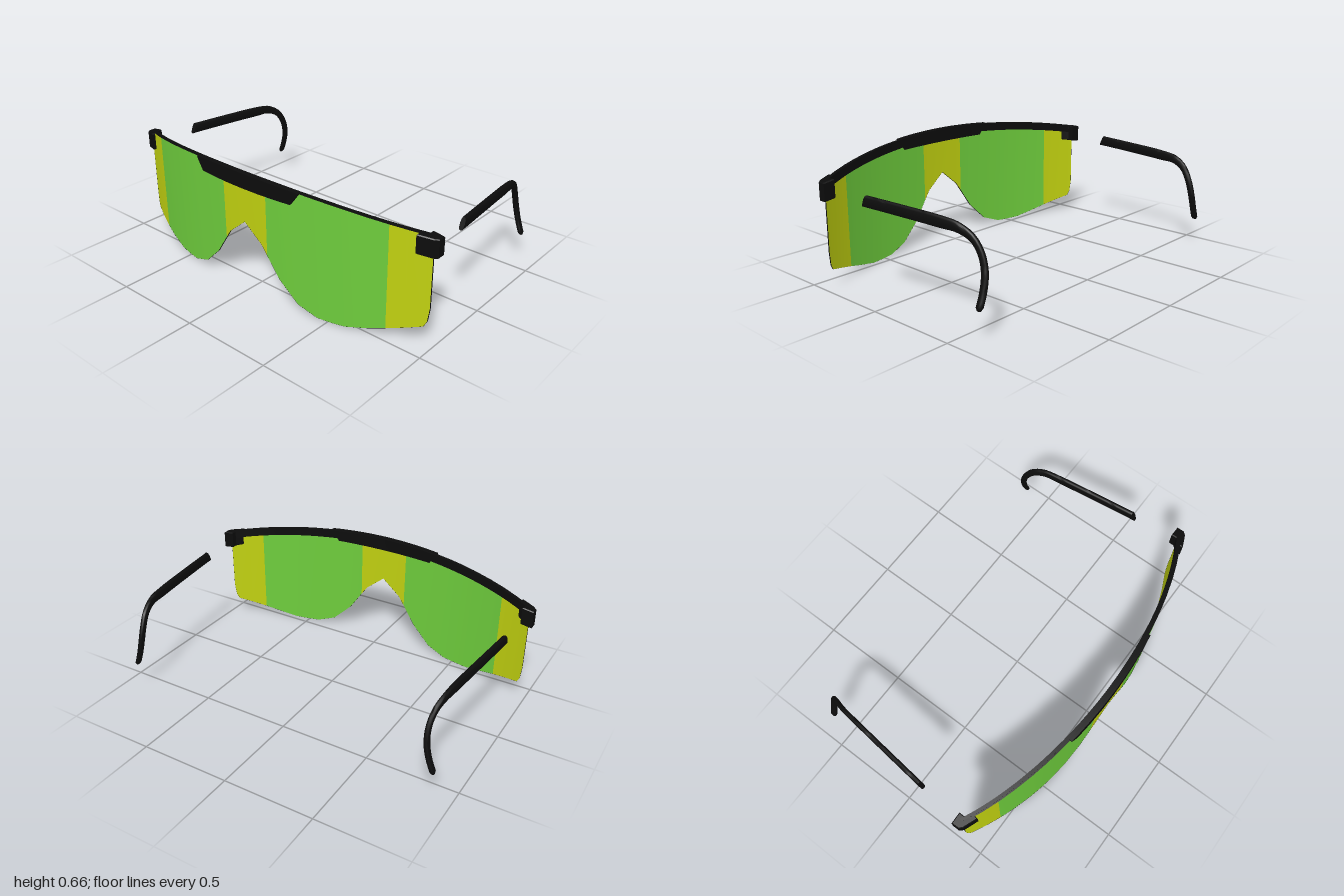
import * as THREE from 'three';
import { toCreasedNormals } from 'three/addons/utils/BufferGeometryUtils.js';

const black = new THREE.MeshStandardMaterial({ name: 'black plastic', color: 0x0c0c0c, side: THREE.DoubleSide });
const green = new THREE.MeshStandardMaterial({ name: 'green lens', color: 0x6ecc3c });
const yellow = new THREE.MeshStandardMaterial({ name: 'yellow lens', color: 0xc0d010 });

// Wrap of the shield, its top line, and the lower outline of one half
const wrapZ = (x) => 0.602 - 0.2 * x * x - 0.03 * x ** 6;
const topY = (x) => 0.663 - 0.095 * x * x;
const lower = [[0, 0.4], [0.11, 0.31], [0.145, 0.26], [0.22, 0.15], [0.33, 0.045], [0.44, 0.005],
  [0.515, 0.003], [0.59, 0.005], [0.7, 0.03], [0.785, 0.054], [0.87, 0.078], [0.947, 0.1], [0.962, 0.13], [0.97, 0.2]];
const columns = [...lower.slice(1).reverse().map(([x, y]) => [-x, y]), ...lower];

function mesh(name, geometry, material) {
  const m = new THREE.Mesh(geometry, material);
  m.name = name;
  return m;
}

function buffer(points, index) {
  const g = new THREE.BufferGeometry();
  g.setAttribute('position', new THREE.Float32BufferAttribute(points.flat(), 3));
  g.setIndex(index);
  return g;
}

// Closed solid through a row of equal loops of points
function loft(loops, crease = 0.6) {
  const n = loops[0].length, last = (loops.length - 1) * n, index = [];
  const points = loops.flat();
  for (let i = 0; i < loops.length - 1; i++) {
    for (let j = 0; j < n; j++) {
      const a = i * n + j, b = i * n + (j + 1) % n;
      index.push(a, b, a + n, b, b + n, a + n);
    }
  }
  for (let j = 1; j < n - 1; j++) {
    index.push(0, j + 1, j, last, last + j, last + j + 1);
  }
  // turn the faces outwards if the loops ran the other way
  let volume = 0;
  const v = (i) => new THREE.Vector3(...points[i]);
  for (let i = 0; i < index.length; i += 3) {
    volume += v(index[i]).dot(v(index[i + 1]).cross(v(index[i + 2])));
  }
  if (volume < 0) index.reverse();
  return toCreasedNormals(buffer(points, index), crease);
}

// One face of the lens, with a material group for each colour band
function lensFace(offset, back) {
  const points = [], index = [];
  columns.forEach(([x, y]) => {
    const z = wrapZ(x) + offset;
    points.push([x, y, z], [x, topY(x), z]);
  });
  const g = buffer(points, index);
  for (let i = 0; i < columns.length - 1; i++) {
    const a = 2 * i, mid = Math.abs(columns[i][0] + columns[i + 1][0]) / 2;
    const quad = [a, a + 2, a + 1, a + 1, a + 2, a + 3];
    index.push(...(back ? quad.reverse() : quad));
    g.addGroup(i * 6, 6, mid < 0.145 || mid > 0.785 ? 1 : 0);
  }
  g.setIndex(index);
  g.computeVertexNormals();
  return g;
}

// Thin dark rim running round the lens outline
function lensEdge() {
  const outline = [...columns, ...columns.map(([x]) => [x, topY(x)]).reverse()];
  const points = [], index = [], n = outline.length;
  outline.forEach(([x, y], i) => {
    points.push([x, y, wrapZ(x) + 0.004], [x, y, wrapZ(x) - 0.004]);
    const a = 2 * i, b = 2 * ((i + 1) % n);
    index.push(a, a + 1, b, b, a + 1, b + 1);
  });
  return toCreasedNormals(buffer(points, index), 0.6);
}

// Four-sided bar that follows the wrap of the lens
function wrapBar(xs, bottom, top, back, front) {
  return loft(xs.map((x) => {
    const z = wrapZ(x), y0 = bottom(x), y1 = top(x);
    return [[x, y0, z + back], [x, y0, z + front], [x, y1, z + front], [x, y1, z + back]];
  }));
}

// Hinge block: L-shaped plan, tilted with the brow line
function hinge(s) {
  const plan = [[0.94, 0.357], [0.995, 0.357], [0.995, 0.392], [0.98, 0.408], [0.91, 0.437], [0.907, 0.415], [0.94, 0.385]];
  const shape = new THREE.Shape(plan.map(([x, z]) => new THREE.Vector2(s * x, -z)));
  const g = new THREE.ExtrudeGeometry(shape, { depth: 0.088, bevelThickness: 0.005, bevelSize: 0.004, bevelSegments: 1 });
  g.rotateX(-Math.PI / 2).translate(0, 0.484, 0);
  const p = g.attributes.position;
  for (let i = 0; i < p.count; i++) p.setY(i, p.getY(i) - 0.15 * (Math.abs(p.getX(i)) - 0.955));
  g.computeVertexNormals();
  return g;
}

// Temple arm: flat oval section swept back, then hooked down and outwards
function arm(s) {
  const path = new THREE.CatmullRomCurve3([[0.94, 0.515, 0.112], [0.918, 0.51, -0.1], [0.89, 0.501, -0.36],
    [0.878, 0.492, -0.46], [0.862, 0.455, -0.53], [0.853, 0.39, -0.572], [0.857, 0.31, -0.594],
    [0.875, 0.23, -0.6], [0.898, 0.165, -0.6]].map((p) => new THREE.Vector3(...p)));
  const loops = [], steps = 36, sides = 12;
  for (let i = 0; i <= steps; i++) {
    const t = i / steps, c = path.getPointAt(t), d = path.getTangentAt(t);
    const len = Math.hypot(d.y, d.z), ny = -d.z / len, nz = d.y / len;
    const half = THREE.MathUtils.lerp(0.03, 0.018, THREE.MathUtils.smoothstep(t, 0.45, 0.75));
    const slant = i === 0 ? -0.4 : 0;
    const loop = [];
    for (let j = 0; j < sides; j++) {
      const a = (j / sides) * Math.PI * 2;
      const h = half * Math.sign(Math.sin(a)) * Math.abs(Math.sin(a)) ** 0.7;
      const w = 0.013 * Math.sign(Math.cos(a)) * Math.abs(Math.cos(a)) ** 0.7;
      loop.push([s * (c.x + w), c.y + h * ny, c.z + h * nz + slant * h]);
    }
    loops.push(loop);
  }
  // rounded tip
  const end = loops[steps], mid = path.getPointAt(1);
  loops.push(end.map(([x, y, z]) => [s * mid.x + (x - s * mid.x) * 0.55 + s * 0.004, y - 0.013, mid.z + (z - mid.z) * 0.55]));
  return loft(loops, 0.9);
}

export function createModel() {
  const model = new THREE.Group();
  model.name = 'shieldSunglasses';

  model.add(mesh('lensFront', lensFace(0.003, false), [green, yellow]));
  model.add(mesh('lensBack', lensFace(-0.003, true), [green, yellow]));
  model.add(mesh('lensEdge', lensEdge(), black));

  // brow rail behind the top of the lens
  const railXs = Array.from({ length: 33 }, (_, i) => -0.96 + i * 0.06);
  model.add(mesh('browRail', wrapBar(railXs, (x) => topY(x) - 0.045, (x) => topY(x) + 0.002, -0.022, -0.004), black));

  // front brow plate with slanted ends
  const plateXs = [-0.345, -0.3, -0.2, -0.1, 0, 0.1, 0.2, 0.3, 0.345];
  const plateBottom = (x) => (Math.abs(x) > 0.32 ? topY(x) - 0.004 : 0.587);
  model.add(mesh('browPlate', wrapBar(plateXs, plateBottom, (x) => topY(x) + 0.004, -0.006, 0.013), black));

  for (const s of [1, -1]) {
    const side = s > 0 ? 'left' : 'right';
    model.add(mesh(side + 'Hinge', hinge(s), black));
    model.add(mesh(side + 'Arm', arm(s), black));
  }
  return model;
}
